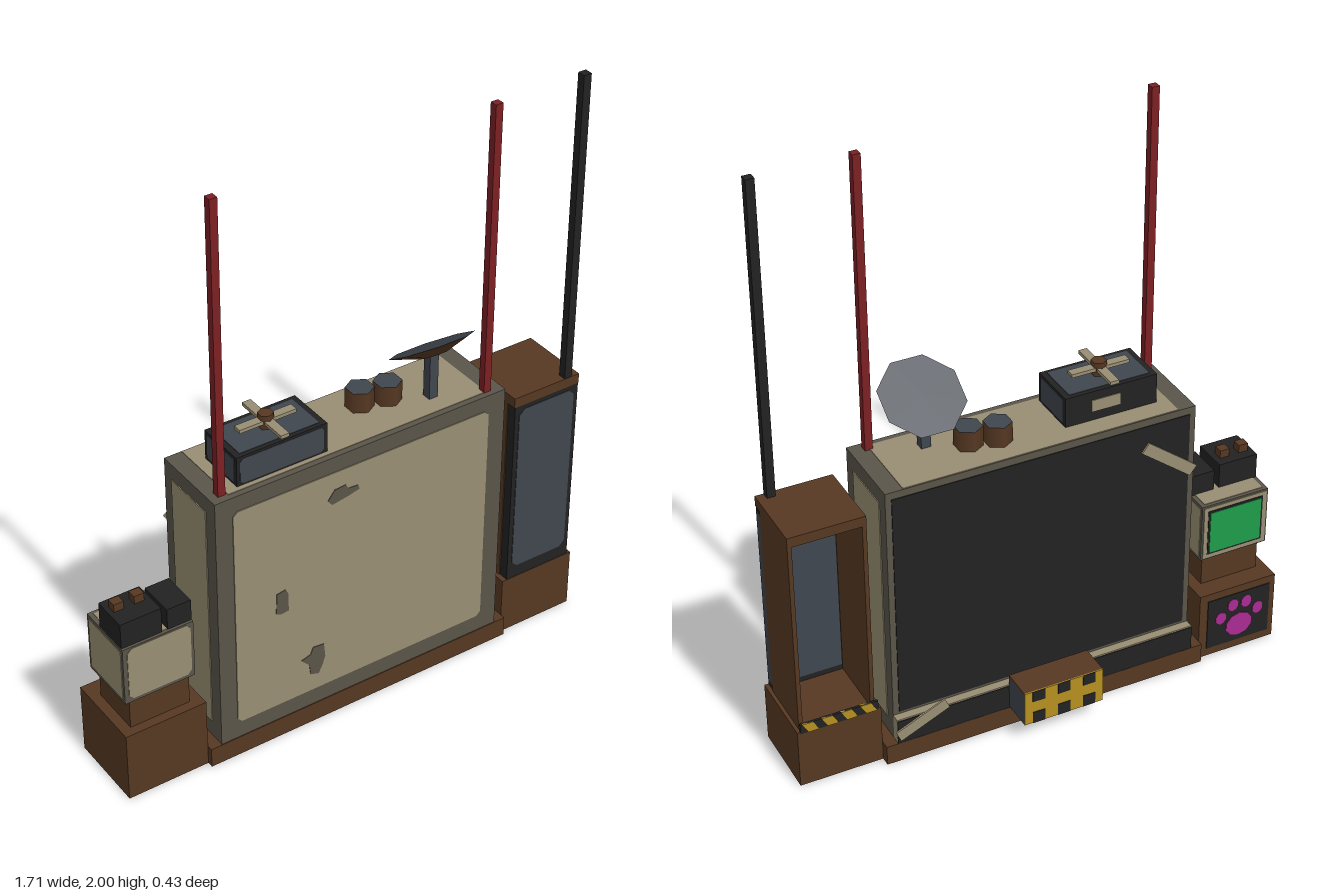
import * as THREE from 'three';

const mat = (name, color) => {
  const m = new THREE.MeshStandardMaterial({ color });
  m.name = name;
  return m;
};

export function createModel() {
  const root = new THREE.Group();
  root.name = 'computerConsole';

  const brown = mat('rust brown', 0x563822);
  const beige = mat('beige', 0x998e73);
  const grey = mat('worn edge grey', 0x5a5549);
  const slate = mat('slate', 0x40464f);
  const black = mat('black', 0x222222);
  const red = mat('red', 0x7c2023);
  const green = mat('screen green', 0x1f9d4a);
  const yellow = mat('hazard yellow', 0xb59020);
  const magenta = mat('magenta', 0xaa2a92);

  const add = (name, geo, material, x = 0, y = 0, z = 0) => {
    const m = new THREE.Mesh(geo, material);
    m.name = name;
    m.position.set(x, y, z);
    root.add(m);
    return m;
  };
  // Box given by its limits on each axis
  const box = (name, material, x0, x1, y0, y1, z0, z1) =>
    add(name, new THREE.BoxGeometry(x1 - x0, y1 - y0, z1 - z0), material,
      (x0 + x1) / 2, (y0 + y1) / 2, (z0 + z1) / 2);
  // Thin flat polygon in the xy plane
  const decal = (name, material, points, z, depth = 0.003) =>
    add(name, new THREE.ExtrudeGeometry(
      new THREE.Shape(points.map(([x, y]) => new THREE.Vector2(x, y))),
      { depth, bevelEnabled: false }), material, 0, 0, z);
  // Rectangle with cut corners
  const cutRect = (x0, x1, y0, y1, c) => [
    [x0 + c, y0], [x1 - c, y0], [x1, y0 + c], [x1, y1 - c],
    [x1 - c, y1], [x0 + c, y1], [x0, y1 - c], [x0, y0 + c]];

  // Hollow base, open underneath
  box('baseTop', brown, -0.57, 0.57, 0.058, 0.07, -0.105, 0.213);
  box('baseFront', brown, -0.57, 0.57, 0, 0.058, 0.203, 0.213);
  box('baseBack', brown, -0.57, 0.57, 0, 0.058, -0.105, -0.095);
  for (const s of [-1, 1])
    box('baseEnd', brown, s * 0.565 - 0.005, s * 0.565 + 0.005, 0, 0.058, -0.095, 0.203);

  // Main cabinet with worn edges and lighter panels
  box('cabinet', grey, -0.53, 0.53, 0.07, 1, -0.072, 0.21);
  decal('frontPanel', beige, cutRect(-0.47, 0.467, 0.132, 0.945, 0.015), 0.21);
  box('topPanel', beige, -0.47, 0.47, 0.999, 1.002, -0.069, 0.19);
  for (const s of [-1, 1])
    box('sidePanel', beige, s * 0.531 - 0.002, s * 0.531 + 0.002, 0.13, 0.945, -0.03, 0.16);
  box('mainScreen', black, -0.51, 0.51, 0.17, 0.975, -0.075, -0.071);

  // Worn patches on the front
  const patches = [
    [[-0.135, 0.85], [-0.12, 0.83], [-0.06, 0.84], [-0.02, 0.85], [-0.025, 0.866], [-0.06, 0.868], [-0.07, 0.885], [-0.11, 0.882]],
    [[-0.325, 0.5], [-0.31, 0.492], [-0.28, 0.495], [-0.28, 0.56], [-0.29, 0.58], [-0.322, 0.575]],
    [[-0.235, 0.27], [-0.205, 0.24], [-0.2, 0.2], [-0.17, 0.19], [-0.155, 0.22], [-0.145, 0.25], [-0.15, 0.3], [-0.19, 0.305], [-0.2, 0.28]],
  ];
  patches.forEach((p) => decal('wornPatch', grey, p, 0.212));

  // Ledge under the main screen
  box('ledge', beige, -0.53, 0.53, 0.07, 0.16, -0.101, -0.072);
  box('ledgeBack', black, -0.53, 0.53, 0.07, 0.155, -0.104, -0.1);

  // Tape strips across the back corners
  const tape = (x0, y0, x1, y1, z) => {
    const m = box('tape', beige, 0, Math.hypot(x1 - x0, y1 - y0), 0, 0.04, 0, 0.006);
    m.position.set((x0 + x1) / 2, (y0 + y1) / 2, z);
    m.rotation.z = Math.atan2(y1 - y0, x1 - x0);
  };
  tape(-0.525, 0.765, -0.35, 0.9, -0.079);
  tape(0.53, 0.1, 0.36, 0.175, -0.108);

  // Hazard-striped box at the back
  box('rearBox', slate, -0.14, 0.14, 0.075, 0.195, -0.21, -0.103);
  box('rearBoxTop', brown, -0.14, 0.14, 0.195, 0.2, -0.21, -0.103);
  box('rearBoxFace', yellow, -0.14, 0.14, 0.075, 0.2, -0.213, -0.209);
  for (const x of [-0.09, 0, 0.09]) {
    box('hazardMark', black, x - 0.022, x + 0.022, 0.16, 0.2, -0.2145, -0.212);
    box('hazardMark', black, x - 0.022, x + 0.022, 0.075, 0.118, -0.2145, -0.212);
  }

  // Left tower: plinth, open-backed shell and dark front panel
  box('leftPlinth', brown, 0.57, 0.852, 0, 0.21, -0.072, 0.195);
  box('leftShellOuter', brown, 0.826, 0.84, 0.21, 0.93, -0.055, 0.158);
  box('leftShellInner', brown, 0.585, 0.599, 0.21, 0.93, -0.055, 0.158);
  box('leftShellTop', brown, 0.585, 0.84, 0.895, 0.93, -0.055, 0.193);
  box('leftFrontPanel', black, 0.588, 0.838, 0.21, 0.895, 0.158, 0.193);
  decal('leftPanelFace', slate, cutRect(0.605, 0.822, 0.255, 0.88, 0.02), 0.192);
  box('leftPanelSide', slate, 0.837, 0.84, 0.23, 0.88, 0.158, 0.188);
  box('leftPanelBack', slate, 0.602, 0.822, 0.23, 0.88, 0.156, 0.159);
  box('hazardBar', black, 0.58, 0.842, 0.205, 0.24, -0.074, -0.066);
  for (let i = 0; i < 4; i++) {
    const x = 0.585 + i * 0.065;
    decal('hazardStripe', yellow,
      [[x, 0.205], [x + 0.035, 0.205], [x + 0.055, 0.24], [x + 0.02, 0.24]], -0.0755, 0.011);
  }

  // Right tower: plinth and neck
  box('rightPlinth', brown, -0.855, -0.57, 0, 0.25, -0.086, 0.192);
  box('neck', brown, -0.82, -0.61, 0.25, 0.36, -0.02, 0.16);
  box('underStripe', black, -0.84, -0.585, -0.001, 0.002, 0.04, 0.08);
  for (let i = 0; i < 4; i++) {
    const x = -0.835 + i * 0.064;
    box('underStripeRed', red, x, x + 0.035, -0.002, 0.001, 0.04, 0.08);
  }

  // Paw mark on the plinth back
  box('pawPanel', black, -0.835, -0.6, 0.03, 0.222, -0.089, -0.085);
  const pad = (x, y, rx, ry) => {
    const m = add('pawPad', new THREE.CylinderGeometry(1, 1, 0.003, 10), magenta, x, y, -0.0895);
    m.rotation.x = Math.PI / 2;
    m.scale.set(rx, 1, ry);
  };
  pad(-0.72, 0.095, 0.05, 0.045);
  [[-0.79, 0.14], [-0.745, 0.18], [-0.695, 0.18], [-0.65, 0.14]]
    .forEach(([x, y]) => pad(x, y, 0.02, 0.024));

  // Small monitor facing backwards
  box('monitor', grey, -0.84, -0.594, 0.36, 0.57, -0.037, 0.172);
  decal('monitorFront', beige, cutRect(-0.825, -0.605, 0.373, 0.565, 0.015), 0.171);
  box('monitorTop', beige, -0.825, -0.608, 0.568, 0.572, -0.025, 0.16);
  for (const x of [-0.84, -0.594])
    box('monitorSide', beige, x - 0.002, x + 0.002, 0.372, 0.558, -0.027, 0.162);
  box('monitorBezel', beige, -0.834, -0.6, 0.366, 0.564, -0.04, -0.036);
  box('monitorGlassEdge', black, -0.819, -0.615, 0.38, 0.55, -0.042, -0.038);
  box('monitorGlass', green, -0.812, -0.622, 0.387, 0.543, -0.044, -0.04);

  // Units on the monitor
  box('largeUnit', black, -0.838, -0.697, 0.57, 0.66, 0.037, 0.163);
  box('smallUnit', black, -0.678, -0.594, 0.57, 0.645, 0.037, 0.163);
  for (const x of [-0.805, -0.735])
    box('knob', brown, x - 0.017, x + 0.017, 0.66, 0.688, 0.07, 0.102);

  // Fan unit on the cabinet
  box('fanBox', black, -0.43, -0.11, 1, 1.105, 0, 0.174);
  decal('fanBoxFront', slate, cutRect(-0.418, -0.122, 1.008, 1.096, 0.01), 0.172);
  box('fanBoxTop', slate, -0.41, -0.13, 1.103, 1.107, 0.015, 0.16);
  for (const x of [-0.43, -0.11])
    box('fanBoxSide', slate, x - 0.002, x + 0.002, 1.01, 1.095, 0.012, 0.162);
  box('fanBoxLabel', beige, -0.3, -0.2, 1.035, 1.075, -0.003, 0.002);
  box('fanBlade', beige, -0.37, -0.17, 1.125, 1.137, 0.07, 0.1);
  box('fanBlade', beige, -0.285, -0.255, 1.124, 1.136, -0.02, 0.19);
  add('fanHub', new THREE.CylinderGeometry(0.025, 0.025, 0.05, 6), brown, -0.27, 1.13, 0.085);

  // Hexagonal canisters
  for (const [x, z] of [[0.105, 0.033], [0.195, 0.052]])
    add('canister', new THREE.CylinderGeometry(0.046, 0.046, 0.072, 6), [brown, slate, brown], x, 1.036, z);

  // Dish on a pole
  box('dishPole', slate, 0.3, 0.332, 1, 1.175, 0.095, 0.127);
  const dishGeo = new THREE.CylinderGeometry(0.14, 0.045, 0.03, 8);
  dishGeo.rotateY(Math.PI / 8);
  dishGeo.translate(0, -0.015, 0);
  const dish = add('dish', dishGeo, [brown, slate, brown], 0.32, 1.183, 0.106);
  dish.rotation.x = -0.593;

  // Antennas
  box('antenna', red, -0.502, -0.476, 1, 2, 0.158, 0.184);
  box('antenna', red, 0.461, 0.487, 1, 2, 0.166, 0.192);
  box('antenna', black, 0.783, 0.811, 0.93, 2, 0.164, 0.192);

  return root;
}
